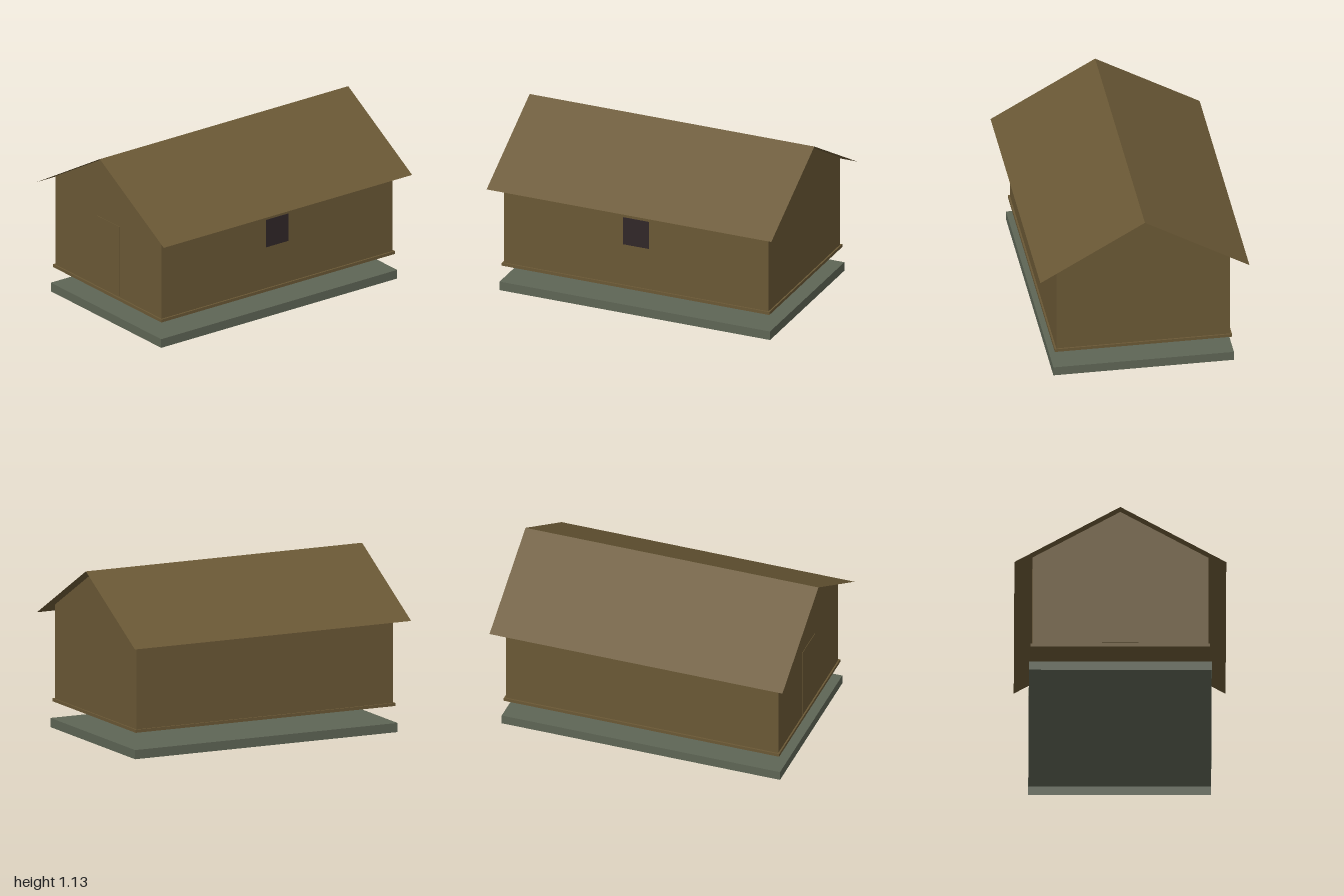
import * as THREE from 'three';

const wood = new THREE.MeshStandardMaterial({ color: 0x6a5835, side: THREE.DoubleSide });
const stone = new THREE.MeshStandardMaterial({ color: 0x5e6555, side: THREE.DoubleSide });
const glass = new THREE.MeshStandardMaterial({ color: 0x302628 });
wood.name = 'brown wood';
stone.name = 'grey stone';
glass.name = 'dark window';

const RIDGE = 1.13, EAVE_X = 0.68, EAVE_Y = 0.74;
const WALL_X = 0.565, WALL_Z = 0.93, WALL_BASE = 0.18;
const SLOPE = (RIDGE - EAVE_Y) / EAVE_X;

export function createModel() {
  const group = new THREE.Group();

  const add = (name, geometry, material, x = 0, y = 0, z = 0) => {
    const mesh = new THREE.Mesh(geometry, material);
    mesh.name = name;
    mesh.position.set(x, y, z);
    group.add(mesh);
    return mesh;
  };

  // Foundation slab: a shallow shell, open underneath
  const slab = new THREE.BoxGeometry(1.174, 0.06, 1.9);
  const faces = Array.from(slab.index.array);
  faces.splice(18, 6);
  slab.setIndex(faces);
  slab.clearGroups();
  add('foundation', slab, stone, 0, 0.03, 0);

  // Floor with a small lip around the walls
  add('floor', new THREE.BoxGeometry(1.152, 0.02, 1.88), wood, 0, 0.18, 0);

  // Gabled walls, just under the roof sheets
  const top = RIDGE - 0.002;
  const shoulder = top - SLOPE * WALL_X;
  const gable = new THREE.Shape([
    new THREE.Vector2(-WALL_X, WALL_BASE),
    new THREE.Vector2(WALL_X, WALL_BASE),
    new THREE.Vector2(WALL_X, shoulder),
    new THREE.Vector2(0, top),
    new THREE.Vector2(-WALL_X, shoulder),
  ]);
  const walls = new THREE.ExtrudeGeometry(gable, { depth: WALL_Z * 2, bevelEnabled: false });
  add('walls', walls, wood, 0, 0, -WALL_Z);

  // Two thin roof sheets meeting at the ridge
  const pitch = Math.atan(SLOPE);
  for (const side of [-1, 1]) {
    const sheet = new THREE.PlaneGeometry(Math.hypot(EAVE_X, RIDGE - EAVE_Y), 2);
    sheet.rotateX(-Math.PI / 2);
    const roof = add(side > 0 ? 'roofLeft' : 'roofRight', sheet, wood,
      side * EAVE_X / 2, (RIDGE + EAVE_Y) / 2, 0);
    roof.rotation.z = -side * pitch;
  }

  // Front door and side window as thin plates
  add('door', new THREE.BoxGeometry(0.236, 0.48, 0.004), wood, 0, 0.44, WALL_Z + 0.001);
  add('window', new THREE.BoxGeometry(0.004, 0.19, 0.18), glass, WALL_X + 0.001, 0.57, 0);

  return group;
}
